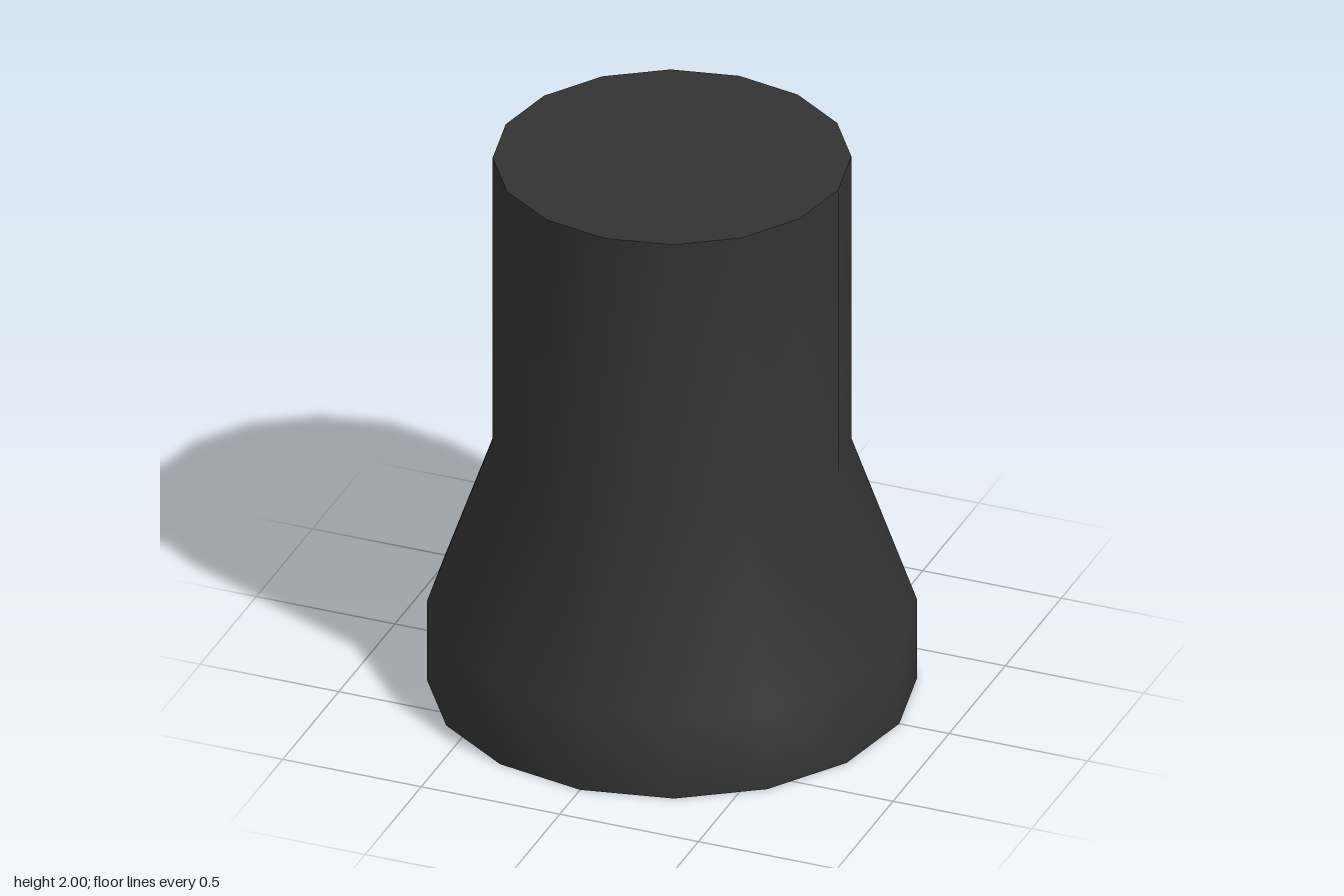
import * as THREE from 'three';

const SIDES = 16;
const BASE_R = 0.82, TOP_R = 0.6, RECESS_R = 0.74, RECESS_H = 0.19;

export function createModel() {
  const group = new THREE.Group();
  const material = new THREE.MeshStandardMaterial({ color: 0x333333 });

  // Each lathe is smooth within itself; separate lathes meet in sharp edges
  const addLathe = (name, profile) => {
    const points = profile.map(([r, y]) => new THREE.Vector2(r, y));
    const mesh = new THREE.Mesh(new THREE.LatheGeometry(points, SIDES), material);
    mesh.name = name;
    group.add(mesh);
  };

  // Flat polygon facing up or down, corners on the axes like the lathes
  const addDisc = (name, radius, y, facing) => {
    const mesh = new THREE.Mesh(new THREE.CircleGeometry(radius, SIDES), material);
    mesh.name = name;
    mesh.rotation.x = -facing * Math.PI / 2;
    mesh.position.y = y;
    group.add(mesh);
  };

  // Outer wall: wide base, sloping shoulder, narrow neck
  addLathe('outerWall', [[BASE_R, 0], [BASE_R, 0.3], [TOP_R, 0.92], [TOP_R, 2]]);
  addDisc('topCap', TOP_R, 2, 1);

  // Underside: flat rim around a shallow recess
  addLathe('bottomRim', [[RECESS_R, 0], [BASE_R, 0]]);
  addLathe('recessWall', [[RECESS_R, RECESS_H], [RECESS_R, 0]]);
  addDisc('recessCeiling', RECESS_R, RECESS_H, -1);

  return group;
}
